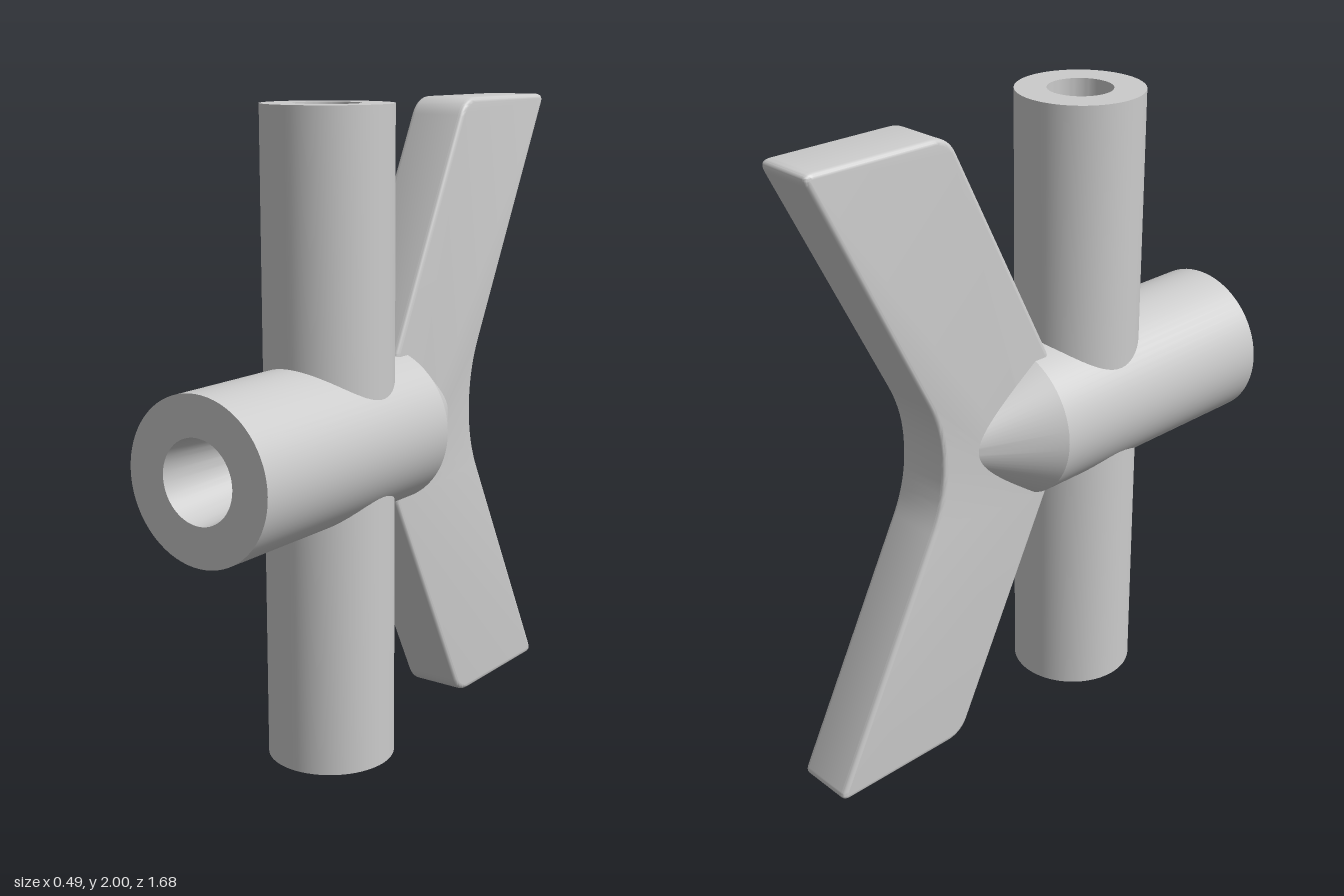
import * as THREE from 'three';
import { toCreasedNormals } from 'three/addons/utils/BufferGeometryUtils.js';

const material = new THREE.MeshStandardMaterial({ color: 0xcccccc });
const MID = 1.003; // height of the horizontal axis

function makeMesh(name, geometry) {
  const mesh = new THREE.Mesh(toCreasedNormals(geometry, 0.5), material);
  mesh.name = name;
  return mesh;
}

function lathe(points) {
  return new THREE.LatheGeometry(points.map(([r, h]) => new THREE.Vector2(r, h)), 72);
}

// Closed outline whose corners [x, y, cut] are rounded, starting `cut` before each corner
function roundedShape(corners) {
  const shape = new THREE.Shape();
  const n = corners.length;
  const toward = (a, b, d) => new THREE.Vector2(a[0], a[1]).add(
    new THREE.Vector2(b[0] - a[0], b[1] - a[1]).setLength(d));
  corners.forEach((c, i) => {
    const start = toward(c, corners[(i + n - 1) % n], c[2]);
    const end = toward(c, corners[(i + 1) % n], c[2]);
    if (i === 0) shape.moveTo(start.x, start.y);
    else shape.lineTo(start.x, start.y);
    shape.quadraticCurveTo(c[0], c[1], end.x, end.y);
  });
  shape.closePath();
  return shape;
}

export function createModel() {
  const group = new THREE.Group();
  group.name = 'crossFitting';

  // Upright tube with a blind bore at each end
  const R = 0.197, bore = 0.1;
  const upright = makeMesh('uprightTube', lathe([
    [0, 0.74], [bore, 0.74], [bore, 0], [R, 0],
    [R, 2], [bore, 2], [bore, 1.26], [0, 1.26],
  ]));
  upright.position.z = 0.239;
  group.add(upright);

  // Horizontal barrel: coned at the back, tapered blind bore at the front
  const barrelGeometry = lathe([
    [0, -0.29], [0.085, -0.29], [0.247, -0.036],
    [0.247, 0.84], [0.125, 0.84], [0.096, 0.45], [0, 0.45],
  ]);
  barrelGeometry.rotateX(Math.PI / 2);
  const barrel = makeMesh('barrel', barrelGeometry);
  barrel.position.y = MID;
  group.add(barrel);

  // Swept V-shaped handle plate, outline drawn as (z, y) and mirrored about the axis
  const upper = [[0.022, 1.236, 0.015], [-0.36, 2, 0.06], [-0.855, 2, 0.04]];
  const lower = upper.map(([z, y, cut]) => [z, 2 * MID - y, cut]).reverse();
  lower[0][1] = lower[1][1] = 0.004;
  const outline = roundedShape([
    ...upper,
    [-0.408, 1.12, 0.11], [-0.408, 2 * MID - 1.12, 0.11],
    ...lower,
  ]);
  const width = 0.194, bevel = 0.015;
  const plate = new THREE.ExtrudeGeometry(outline, {
    depth: width - 2 * bevel, bevelEnabled: true, bevelThickness: bevel,
    bevelSize: bevel, bevelOffset: -bevel, bevelSegments: 4, curveSegments: 10,
  });
  plate.translate(0, 0, -width / 2 + bevel);
  plate.rotateY(-Math.PI / 2);
  group.add(makeMesh('handlePlate', plate));

  return group;
}
